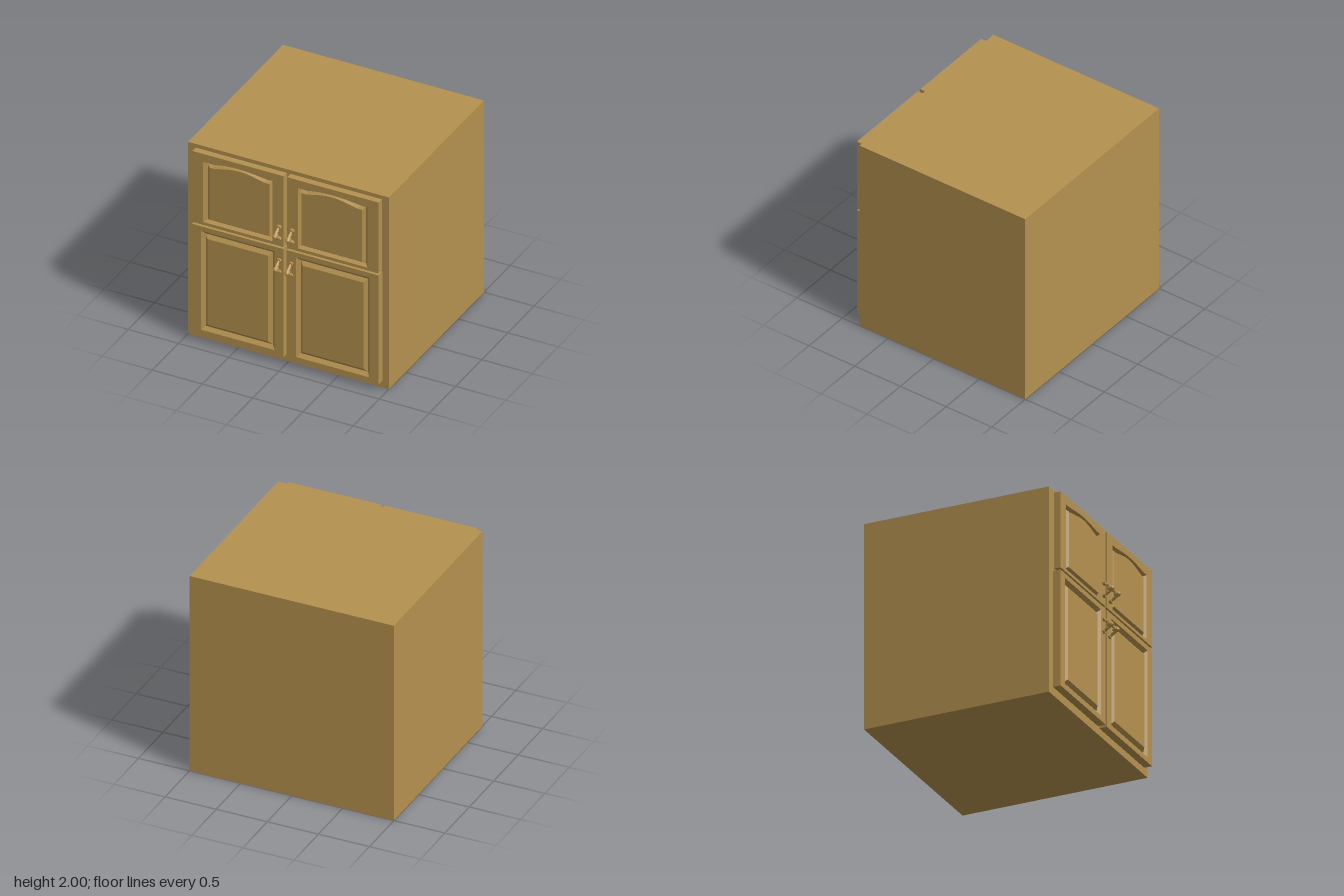
import * as THREE from 'three';

const wood = new THREE.MeshStandardMaterial({ color: 0xb5924f });
wood.name = 'oak wood';
wood.flatShading = true;

const TOP_STEPS = 12;

// Closed counter-clockwise outline; the top edge may rise in a shallow arch
function outline(l, r, b, t, z, rise = 0) {
  const pts = [[l, b, z], [r, b, z]];
  for (let i = 0; i <= TOP_STEPS; i++) {
    const u = i / TOP_STEPS;
    const s = Math.max(0, 1 - Math.abs(u - 0.5) / 0.4);
    pts.push([r + (l - r) * u, t + rise * Math.sin(s * Math.PI / 2), z]);
  }
  return pts;
}

// Skin between successive outlines, closed at the back and the front
function loft(loops) {
  const pos = [];
  const tri = (a, b, c) => pos.push(...a, ...b, ...c);
  const n = loops[0].length;
  for (let k = 0; k < loops.length - 1; k++) {
    for (let i = 0; i < n; i++) {
      const j = (i + 1) % n, A = loops[k], B = loops[k + 1];
      tri(A[i], A[j], B[j]);
      tri(A[i], B[j], B[i]);
    }
  }
  const cap = (loop, back) => {
    const c = [(loop[0][0] + loop[1][0]) / 2, (loop[0][1] + loop[2][1]) / 2, loop[0][2]];
    for (let i = 0; i < n; i++) {
      const j = (i + 1) % n;
      if (back) tri(c, loop[j], loop[i]);
      else tri(c, loop[i], loop[j]);
    }
  };
  cap(loops[0], true);
  cap(loops[n ? loops.length - 1 : 0], false);
  const g = new THREE.BufferGeometry();
  g.setAttribute('position', new THREE.Float32BufferAttribute(pos, 3));
  g.computeVertexNormals();
  return g;
}

// Door slab with a V-groove around a raised panel
function door(name, slab, outer, inner, zBack, rises = [0, 0]) {
  const mid = outer.map((v, i) => (v + inner[i]) / 2);
  const mesh = new THREE.Mesh(loft([
    outline(...slab, zBack),
    outline(...slab, 0.89),
    outline(...outer, 0.89, rises[0]),
    outline(...mid, 0.86, (rises[0] + rises[1]) / 2),
    outline(...inner, 0.888, rises[1]),
  ]), wood);
  mesh.name = name;
  return mesh;
}

// Pull handle: two feet, two sloping arms and a rounded grip
function handle(name, x, y, z) {
  const g = new THREE.Group();
  g.name = name;
  const add = (part, geo) => {
    const m = new THREE.Mesh(geo, wood);
    m.name = part;
    g.add(m);
    return m;
  };
  for (const s of [1, -1]) {
    add('handleFoot', new THREE.CylinderGeometry(0.022, 0.024, 0.026, 8)
      .rotateX(Math.PI / 2).scale(1, 0.8, 1)).position.set(0, s * 0.06, 0.013);
    const a = new THREE.Vector3(0, s * 0.056, 0.018);
    const b = new THREE.Vector3(0, s * 0.012, 0.075);
    const dir = b.clone().sub(a);
    const arm = add('handleArm', new THREE.CylinderGeometry(0.016, 0.011, dir.length(), 8));
    arm.position.copy(a).add(b).multiplyScalar(0.5);
    arm.quaternion.setFromUnitVectors(new THREE.Vector3(0, 1, 0), dir.normalize());
    add('handleRing', new THREE.TorusGeometry(0.014, 0.005, 5, 8)
      .rotateX(Math.PI / 2)).position.set(0, s * 0.033, 0.048);
  }
  add('handleGrip', new THREE.SphereGeometry(1, 10, 7)
    .scale(0.025, 0.025, 0.036)).position.z = 0.075;
  g.position.set(x, y, z);
  return g;
}

export function createModel() {
  const model = new THREE.Group();
  model.name = 'cabinet';

  // Carcass
  const body = new THREE.Mesh(new THREE.BoxGeometry(2, 2, 1.815), wood);
  body.name = 'cabinetBody';
  body.position.set(0, 1, -0.0925);
  model.add(body);

  // Doors: slab, groove outside and raised panel as [left, right, bottom, top]
  model.add(
    door('upperRightDoor', [-0.92, -0.01, 1.23, 1.97], [-0.81, -0.12, 1.26, 1.888],
      [-0.75, -0.15, 1.305, 1.845], 0.826, [0.024, 0.043]),
    door('upperLeftDoor', [0.025, 0.935, 1.23, 1.97], [0.135, 0.825, 1.26, 1.888],
      [0.17, 0.77, 1.305, 1.845], 0.826, [0.024, 0.043]),
    door('lowerRightDoor', [-0.92, -0.01, 0.08, 1.21], [-0.83, -0.10, 0.13, 1.163],
      [-0.77, -0.165, 0.20, 1.093], 0.815),
    door('lowerLeftDoor', [0.02, 0.935, 0.07, 1.21], [0.115, 0.845, 0.12, 1.16],
      [0.18, 0.785, 0.19, 1.09], 0.815),
  );

  // Handles beside the centre gap
  model.add(
    handle('upperRightHandle', -0.052, 1.375, 0.889),
    handle('upperLeftHandle', 0.077, 1.372, 0.889),
    handle('lowerRightHandle', -0.052, 1.026, 0.882),
    handle('lowerLeftHandle', 0.066, 1.024, 0.882),
  );
  return model;
}
